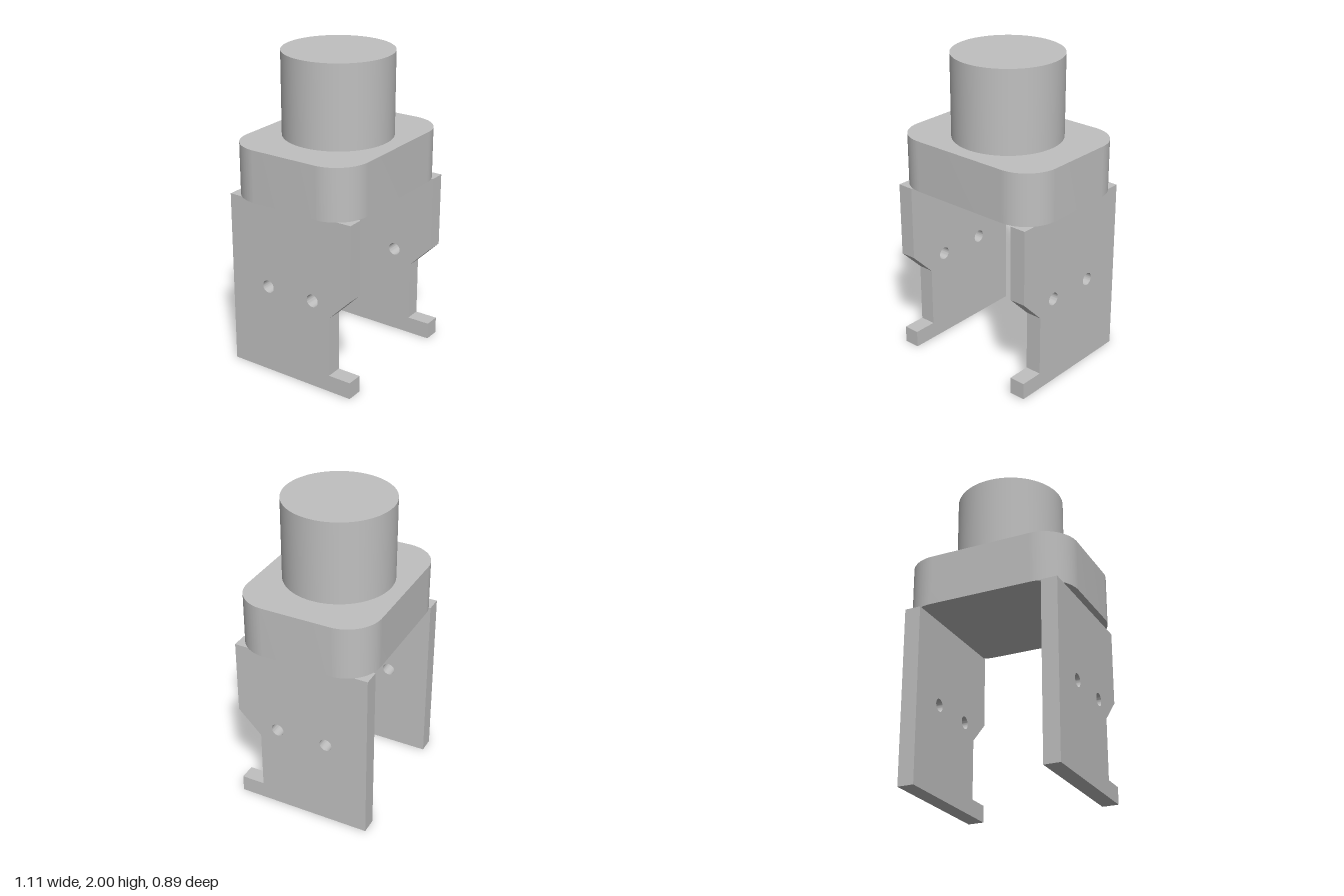
import * as THREE from 'three';
import { toCreasedNormals } from 'three/addons/utils/BufferGeometryUtils.js';

const HALF_DEPTH = 0.443;

// Extrude a shape, keeping rounded walls smooth and edges sharp
function extrude(shape, depth) {
  const geometry = new THREE.ExtrudeGeometry(shape, { depth, bevelEnabled: false, curveSegments: 24 });
  return toCreasedNormals(geometry, Math.PI / 6);
}

function roundedRect(w, d, r) {
  const s = new THREE.Shape();
  s.absarc(w - r, d - r, r, 0, Math.PI / 2);
  s.absarc(-w + r, d - r, r, Math.PI / 2, Math.PI);
  s.absarc(-w + r, -d + r, r, Math.PI, Math.PI * 1.5);
  s.absarc(w - r, -d + r, r, Math.PI * 1.5, Math.PI * 2);
  s.closePath();
  return s;
}

export function createModel() {
  const group = new THREE.Group();
  const grey = new THREE.MeshStandardMaterial({ color: 0xc0c0c0 });
  grey.name = 'grey';

  const add = (name, geometry) => {
    const mesh = new THREE.Mesh(geometry, grey);
    mesh.name = name;
    group.add(mesh);
    return mesh;
  };

  // Round boss on top
  add('boss', new THREE.CylinderGeometry(0.346, 0.346, 0.527, 96)).position.y = 1.7365;

  // Rounded block
  const block = extrude(roundedRect(0.555, HALF_DEPTH, 0.222), 0.333);
  block.rotateX(-Math.PI / 2);
  add('block', block).position.y = 1.14;

  // Notched side plate, profile drawn in z and y
  const profile = new THREE.Shape([
    [-HALF_DEPTH, 0], [HALF_DEPTH, 0], [HALF_DEPTH, 0.11], [0.29, 0.11],
    [0.29, 0.503], [HALF_DEPTH, 0.657], [HALF_DEPTH, 1.14], [-HALF_DEPTH, 1.14],
  ].map(([z, y]) => new THREE.Vector2(z, y)));
  for (const z of [0.168, -0.166]) {
    profile.holes.push(new THREE.Path().absarc(z, 0.585, 0.041, 0, Math.PI * 2, true));
  }
  const thickness = 0.105;
  const plate = extrude(profile, thickness);
  plate.translate(0, 0, -thickness / 2);
  plate.rotateY(-Math.PI / 2);
  add('leftLeg', plate).position.x = 0.459;
  add('rightLeg', plate).position.x = -0.459;

  return group;
}
